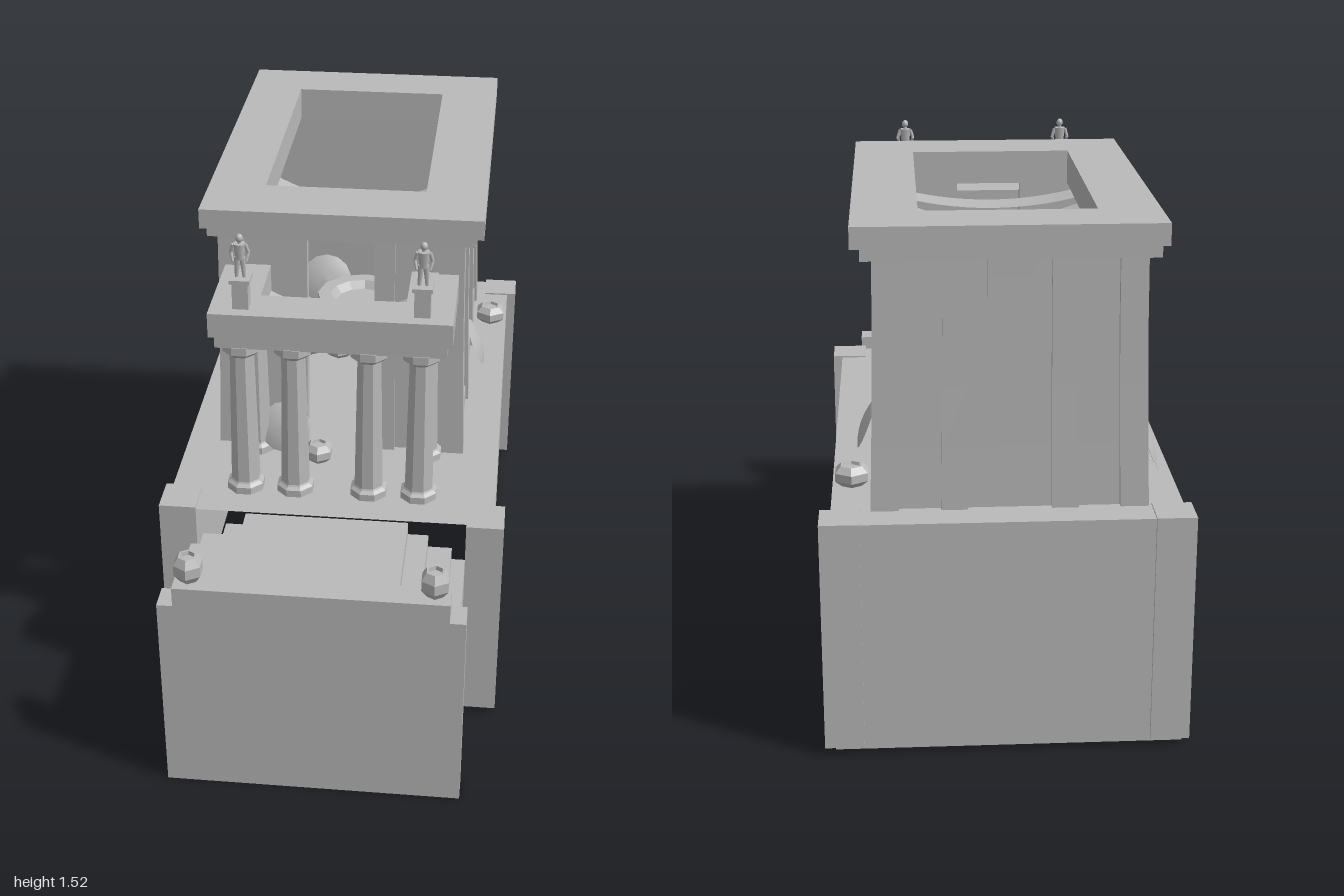
import * as THREE from 'three';

const stone = new THREE.MeshStandardMaterial({ color: 0xbababa, side: THREE.DoubleSide });
stone.name = 'grey stone';
const DECK = 0.695, EAVES = 1.4;

export function createModel() {
  const root = new THREE.Group();
  root.name = 'temple';

  const add = (name, geo, x = 0, y = 0, z = 0, parent = root) => {
    const m = new THREE.Mesh(geo, stone);
    m.name = name;
    m.position.set(x, y, z);
    parent.add(m);
    return m;
  };
  const flat = (geo) => {
    const g = geo.index ? geo.toNonIndexed() : geo;
    g.computeVertexNormals();
    return g;
  };
  // Box from its limits; faces listed in skip (0 +x, 1 -x, 2 +y, 3 -y, 4 +z, 5 -z) are left open
  const box = (name, x0, x1, y0, y1, z0, z1, skip = [], parent = root) => {
    const g = new THREE.BoxGeometry(x1 - x0, y1 - y0, z1 - z0);
    const idx = Array.from(g.index.array).filter((_, i) => !skip.includes(Math.floor(i / 6)));
    g.setIndex(idx);
    g.clearGroups();
    return add(name, g, (x0 + x1) / 2, (y0 + y1) / 2, (z0 + z1) / 2, parent);
  };
  // Sheet following an x-y line, swept from z0 to z1
  const sheet = (points, z0, z1) => {
    const pos = [], idx = [];
    points.forEach(([x, y], i) => {
      pos.push(x, y, z0, x, y, z1);
      if (i) idx.push(2 * i - 2, 2 * i - 1, 2 * i, 2 * i, 2 * i - 1, 2 * i + 1);
    });
    const g = new THREE.BufferGeometry();
    g.setAttribute('position', new THREE.Float32BufferAttribute(pos, 3));
    g.setIndex(idx);
    g.computeVertexNormals();
    return g;
  };
  // Flat slab with a rectangular hole; limits are [x0, x1, z0, z1]
  const frame = (name, o, h, y0, y1) => {
    const rect = (P, [x0, x1, z0, z1]) => new P([[x0, z0], [x1, z0], [x1, z1], [x0, z1]]
      .map(([x, z]) => new THREE.Vector2(x, -z)));
    const s = rect(THREE.Shape, o);
    s.holes.push(rect(THREE.Path, h));
    const g = new THREE.ExtrudeGeometry(s, { depth: y1 - y0, bevelEnabled: false });
    g.rotateX(-Math.PI / 2);
    add(name, g, 0, y0, 0);
  };

  // Podium, hollow and open below
  box('podium', -0.49, 0.48, 0.02, DECK, -0.99, 0.6, [3, 4]);
  for (const [x, z0, z1] of [[-0.51, -1, -0.89], [0.4, -1, -0.89], [-0.51, 0.48, 0.6], [0.4, 0.5, 0.62]])
    box('podiumPier', x, x + 0.11, 0.03, 0.7, z0, z1, [3]);
  box('frontWall', -0.44, 0.42, 0.005, 0.64, 0.92, 1, [3]);
  box('frontWallTop', -0.395, 0.375, 0.64, 0.7, 0.92, 1, [3]);

  // Landing with steps going down to both sides
  const steps = [[-0.42, 0.02], [-0.42, 0.57], [-0.38, 0.57], [-0.38, 0.61], [-0.31, 0.61], [-0.31, 0.65],
    [-0.25, 0.65], [-0.25, 0.69]];
  const other = steps.map(([x, y]) => [-x - 0.02, y]).reverse();
  add('sideSteps', flat(sheet([...steps, ...other], 0.6, 0.92)));

  // Cella: walls and pilasters flare outwards towards the foot
  const cella = new THREE.Group();
  cella.name = 'cella';
  root.add(cella);
  const CX = -0.01, CZ = -0.345;
  const flared = (name, x0, x1, y0, y1, z0, z1) => {
    const g = new THREE.BoxGeometry(x1 - x0, y1 - y0, z1 - z0, 1, 4, 1);
    g.translate((x0 + x1) / 2, (y0 + y1) / 2, (z0 + z1) / 2);
    const p = g.attributes.position;
    for (let i = 0; i < p.count; i++) {
      const k = Math.pow((EAVES - p.getY(i)) / (EAVES - DECK), 1.6);
      p.setX(i, CX + (p.getX(i) - CX) * (1 + 0.045 * k));
      p.setZ(i, CZ + (p.getZ(i) - CZ) * (1 + 0.022 * k));
    }
    add(name, flat(g), 0, 0, 0, cella);
  };
  const W = 0.365, F = 0.2, B = -0.885;
  for (const s of [-1, 1]) {
    const span = (a, b) => [Math.min(CX + s * a, CX + s * b), Math.max(CX + s * a, CX + s * b)];
    flared('sideWall', ...span(W - 0.04, W - 0.016), DECK, EAVES, B + 0.016, F - 0.016);
    flared('frontWallPanel', ...span(0.1, W - 0.016), DECK, EAVES, F - 0.04, F - 0.016);
    for (const [z0, z1] of [[0.12, F], [-0.2, -0.13], [-0.56, -0.49], [B, -0.82]])
      flared('sidePilaster', ...span(W - 0.03, W), DECK, EAVES, z0, z1);
    for (const [z0, z1] of [[-0.13, 0.12], [-0.49, -0.2], [-0.82, -0.56]]) {
      flared('friezePanel', ...span(W - 0.02, W - 0.008), 1.33, EAVES, z0, z1);
      flared('footCourse', ...span(W - 0.02, W - 0.008), DECK, 0.745, z0, z1);
    }
    flared('backPilaster', ...span(0.11, 0.18), DECK, EAVES, B, B + 0.03);
    flared('backCornerPilaster', ...span(0.29, W), DECK, EAVES, B, B + 0.03);
    flared('frontCornerPilaster', ...span(0.29, W), DECK, EAVES, F - 0.03, F);
    flared('doorJamb', ...span(0.1, 0.16), DECK, EAVES, F - 0.04, F);
  }
  flared('backWall', CX - W + 0.016, CX + W - 0.016, DECK, EAVES, B + 0.016, B + 0.04);
  flared('backPanel', CX - 0.06, CX + 0.06, 1.29, EAVES, B + 0.008, B + 0.02);

  // Cornice and open roof
  const opening = [-0.25, 0.23, -0.77, 0.05];
  frame('cornice', [-0.405, 0.385, -0.915, 0.21], opening, EAVES, 1.44);
  frame('roofSlab', [-0.42, 0.41, -0.95, 0.245], opening, 1.44, 1.5);

  // Sagging cloths across the opening and in the porch
  const cloth = (z0, z1, half, top, sag) => {
    const pts = [];
    for (let i = 0; i <= 16; i++) {
      const u = i / 8 - 1;
      pts.push([CX + u * half, top - sag * (1 - u * u)]);
    }
    add('cloth', sheet(pts, z0, z1));
  };
  cloth(-0.345, -0.21, 0.33, 1.4, 0.11);
  cloth(-0.2, -0.11, 0.33, 1.4, 0.08);
  cloth(-0.08, 0.04, 0.33, 1.4, 0.05);
  cloth(0.2, 0.32, 0.22, 1.23, 0.06);

  // Porch
  const porchHole = [-0.22, 0.2, 0.15, 0.39];
  const uSlab = (name, x0, x1, z1, y0, y1) => {
    box(name, x0, x1, y0, y1, porchHole[3], z1);
    box(name, x0, porchHole[0], y0, y1, 0.19, porchHole[3], [4]);
    box(name, porchHole[1], x1, y0, y1, 0.19, porchHole[3], [4]);
  };
  uSlab('porchRoof', -0.355, 0.34, 0.52, 1.23, 1.305);
  uSlab('porchBeam', -0.34, 0.325, 0.505, 1.19, 1.23);

  const lathe = (pts, n) => new THREE.LatheGeometry(pts.map(([r, y]) => new THREE.Vector2(r, y)), n);
  const columnGeo = flat(lathe([[0, 0], [0.057, 0], [0.057, 0.022], [0.047, 0.03], [0.044, 0.035], [0.036, 0.455],
    [0.05, 0.465], [0.057, 0.472], [0.057, 0.497], [0, 0.497]], 8).rotateY(Math.PI / 8));
  const columns = [-0.27, -0.12, 0.1, 0.25].map((x) => [x, 0.455]);
  columns.push([-0.27, 0.23], [0.25, 0.23]);
  for (const [x, z] of columns) add('column', columnGeo, x, DECK, z);

  // Statues on pedestals
  const limb = (name, a, b, r0, r1, parent) => {
    const p = new THREE.Vector3(...a), q = new THREE.Vector3(...b), d = q.clone().sub(p);
    const m = add(name, new THREE.CylinderGeometry(r1, r0, d.length(), 8), 0, 0, 0, parent);
    m.position.copy(p).add(q).multiplyScalar(0.5);
    m.quaternion.setFromUnitVectors(new THREE.Vector3(0, 1, 0), d.normalize());
  };
  for (const x of [-0.265, 0.25]) {
    box('pedestal', x - 0.023, x + 0.023, 1.305, 1.39, 0.437, 0.483);
    box('pedestalCap', x - 0.029, x + 0.029, 1.385, 1.397, 0.431, 0.489);
    const s = new THREE.Group();
    s.name = 'statue';
    s.position.set(x, 1.397, 0.46);
    root.add(s);
    for (const k of [-1, 1]) {
      limb('leg', [k * 0.011, 0, 0], [k * 0.007, 0.062, 0], 0.005, 0.009, s);
      limb('upperArm', [k * 0.017, 0.1, 0], [k * 0.025, 0.075, -0.002], 0.006, 0.005, s);
      limb('forearm', [k * 0.025, 0.075, -0.002], [k * 0.019, 0.052, 0.008], 0.005, 0.004, s);
    }
    limb('torso', [0, 0.056, 0], [0, 0.104, 0], 0.012, 0.018, s);
    limb('neck', [0, 0.1, 0], [0, 0.115, 0], 0.006, 0.005, s);
    add('head', new THREE.SphereGeometry(0.0105, 10, 8), 0, 0.12, 0.001, s).scale.y = 1.2;
  }

  // Six-sided urns: x, y, z, radius, height
  const urnGeo = flat(lathe([[0, 0], [0.6, 0], [1, 0.3], [1, 0.7], [0.65, 1], [0.5, 1], [0.45, 0.85], [0, 0.85]], 6));
  for (const [x, y, z, r, h] of [[-0.355, 0.7, 0.95, 0.043, 0.08], [0.33, 0.7, 0.95, 0.043, 0.08],
    [0.425, DECK, -0.69, 0.053, 0.06], [0.17, DECK, -0.69, 0.055, 0.06], [-0.18, DECK, -0.41, 0.068, 0.09],
    [-0.08, DECK, -0.385, 0.052, 0.06], [-0.07, DECK, 0.29, 0.045, 0.06]])
    add('urn', urnGeo, x, y, z).scale.set(r, h, r);

  // Round basin in the middle of the hall
  add('basin', flat(lathe([[0, 0], [0.13, 0], [0.13, 0.02], [0.115, 0.03], [0.125, 0.09], [0.155, 0.12], [0.155, 0.14],
    [0.11, 0.14], [0.09, 0.115], [0, 0.115]], 12)), -0.02, DECK, -0.57);

  // Domed shields leaning on the walls
  const shieldGeo = lathe([[0, 0.2], [0.4, 0.17], [0.75, 0.09], [1, 0]], 14);
  const shield = (x, y, z, r, dx, dz) => {
    const m = add('shield', shieldGeo, x, y, z);
    m.scale.setScalar(r);
    m.quaternion.setFromUnitVectors(new THREE.Vector3(0, 1, 0), new THREE.Vector3(dx, 0.4, dz).normalize());
  };
  shield(0.385, 0.77, -0.385, 0.08, 1, 0);
  shield(-0.42, 0.78, -0.6, 0.1, -1, 0);
  shield(-0.17, 0.78, -0.78, 0.09, 0, 1);
  shield(-0.26, 0.77, -0.22, 0.08, 1, 0);
  shield(-0.18, 0.775, 0.24, 0.08, 0, 1);

  return root;
}
